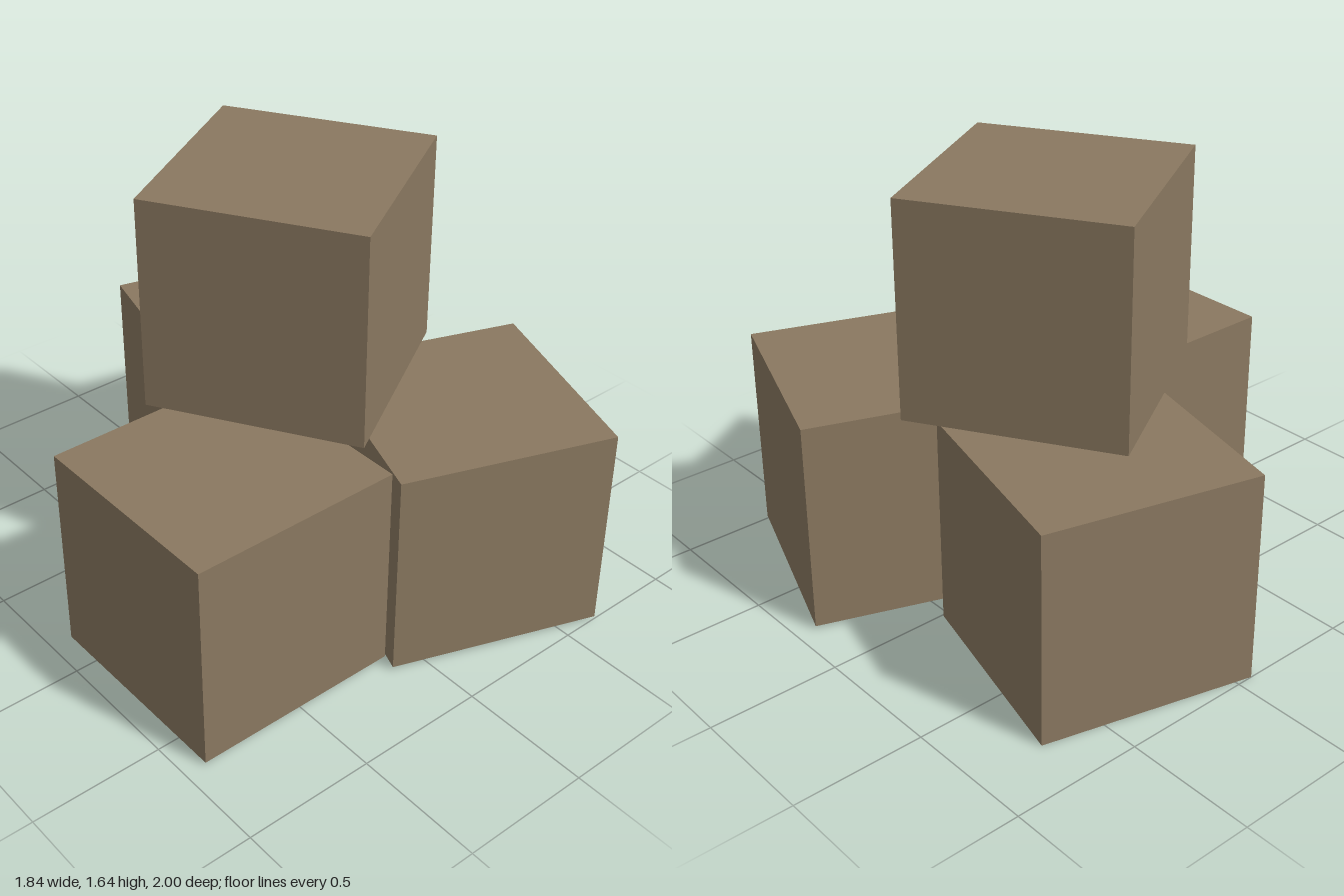
import * as THREE from 'three';

const SIZE = 0.815;

export function createModel() {
  const model = new THREE.Group();
  model.name = 'crateStack';

  const brown = new THREE.MeshStandardMaterial({ color: 0x8a7860 });
  brown.name = 'dull brown';
  const cube = new THREE.BoxGeometry(SIZE, SIZE, SIZE);

  // Three cubes on the ground and one on top: name, x, base height, z, turn in degrees
  const cubes = [
    ['rightCube', -0.513, 0.012, 0.253, 0],
    ['leftCube', 0.4, 0.012, 0.478, -20],
    ['backCube', 0.23, 0, -0.503, -14.5],
    ['topCube', 0.0625, 0.827, -0.073, 31],
  ];
  for (const [name, x, base, z, turn] of cubes) {
    const mesh = new THREE.Mesh(cube, brown);
    mesh.name = name;
    mesh.position.set(x, base + SIZE / 2, z);
    mesh.rotation.y = THREE.MathUtils.degToRad(turn);
    model.add(mesh);
  }
  return model;
}
